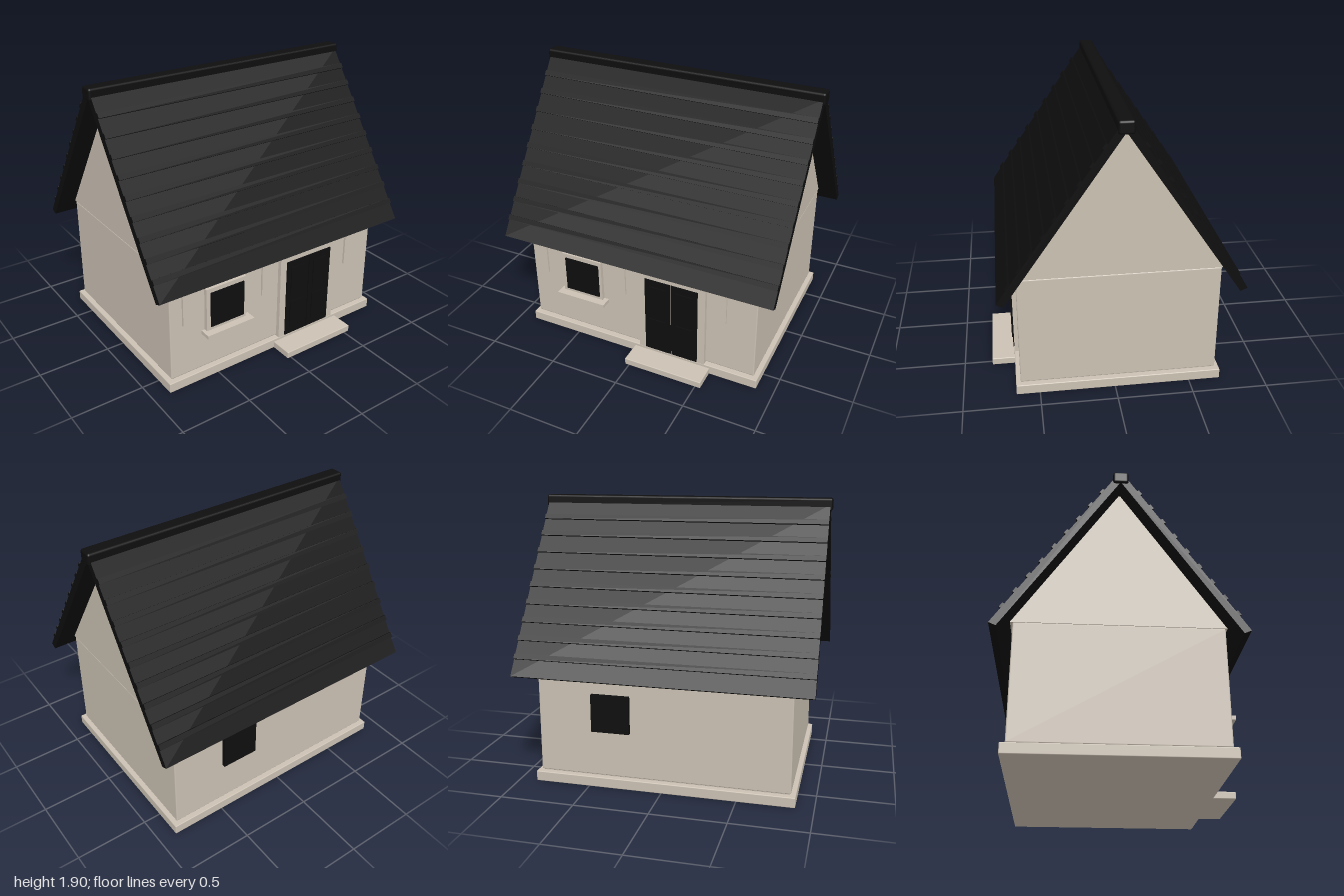
import * as THREE from 'three';
import { RoundedBoxGeometry } from 'three/addons/geometries/RoundedBoxGeometry.js';

const MID = -0.03; // z of the ridge line
const SLOPE = Math.atan2(1.08, 0.734);

export function createModel() {
  const house = new THREE.Group();
  house.name = 'house';
  const plaster = new THREE.MeshStandardMaterial({ color: 0xcbc1b3 });
  plaster.name = 'plaster';
  const black = new THREE.MeshStandardMaterial({ color: 0x0e0e0f });
  black.name = 'black';

  const add = (name, geometry, material, parent = house) => {
    const mesh = new THREE.Mesh(geometry, material);
    mesh.name = name;
    parent.add(mesh);
    return mesh;
  };
  // Box given by its limits on each axis, with optional rounded edges
  const box = (name, material, [x0, x1], [y0, y1], [z0, z1], r = 0, parent = house) => {
    const size = [x1 - x0, y1 - y0, z1 - z0];
    const g = r ? new RoundedBoxGeometry(...size, 2, r) : new THREE.BoxGeometry(...size);
    g.translate((x0 + x1) / 2, (y0 + y1) / 2, (z0 + z1) / 2);
    return add(name, g, material, parent);
  };
  // Outline of (z, y) points extruded along x, centred on x = 0
  const prism = (name, material, points, width) => {
    const shape = new THREE.Shape(points.map(([z, y]) => new THREE.Vector2(z, y)));
    const g = new THREE.ExtrudeGeometry(shape, { depth: width, bevelEnabled: false });
    g.translate(0, 0, -width / 2);
    g.rotateY(-Math.PI / 2);
    return add(name, g, material);
  };

  // Body
  box('foundation', plaster, [-0.88, 0.88], [0, 0.07], [-0.71, 0.655], 0.006);
  box('plinthJoint', plaster, [-0.84, 0.84], [0.06, 0.09], [-0.67, 0.615]);
  box('walls', plaster, [-0.85, 0.85], [0.077, 0.845], [-0.68, 0.625], 0.008);
  box('doorStep', plaster, [-0.03, 0.54], [0, 0.05], [0.64, 0.81], 0.006);
  prism('gables', plaster, [[MID + 0.666, 0.845], [MID, 1.825], [MID - 0.666, 0.845]], 1.7);

  // Roof: two pitched slabs joined under the ridge
  prism('roof', black, [
    [MID + 0.735, 0.746], [MID + 0.78, 0.766], [MID + 0.04, 1.856],
    [MID - 0.04, 1.856], [MID - 0.78, 0.766], [MID - 0.735, 0.746], [MID, 1.826],
  ], 1.97);
  box('ridgeCap', black, [-1, 1], [1.815, 1.897], [MID - 0.05, MID + 0.05], 0.015);

  // Battens along both pitches
  for (const side of [1, -1]) {
    const battens = new THREE.Group();
    battens.name = side > 0 ? 'frontBattens' : 'backBattens';
    house.add(battens);
    for (let i = 0; i < 9; i++) {
      const batten = add('batten', new THREE.BoxGeometry(1.97, 0.022, 0.036), black, battens);
      batten.position.set(0, 0.88 + i * 0.1082, MID + side * (0.706 - i * 0.0735));
      batten.rotation.x = side * SLOPE;
    }
  }

  // Short posts under the front eave
  for (const x of [-0.742, -0.118, 0.625]) {
    box('eavePost', plaster, [x - 0.017, x + 0.017], [0.46, 0.84], [0.61, 0.64]);
  }

  // Front window
  const frontWindow = new THREE.Group();
  frontWindow.name = 'frontWindow';
  house.add(frontWindow);
  box('windowFrame', plaster, [-0.59, -0.28], [0.36, 0.675], [0.6, 0.652], 0, frontWindow);
  box('windowPane', black, [-0.56, -0.3], [0.39, 0.645], [0.64, 0.661], 0, frontWindow);
  box('windowSill', plaster, [-0.615, -0.245], [0.34, 0.365], [0.6, 0.705], 0, frontWindow);

  // Back window
  box('backWindow', black, [0.215, 0.475], [0.39, 0.645], [-0.708, -0.66]);

  // Double door with raised panels
  const door = new THREE.Group();
  door.name = 'door';
  house.add(door);
  box('doorFrame', plaster, [0.01, 0.5], [0.068, 0.73], [0.6, 0.654], 0, door);
  for (const side of [-1, 1]) {
    const x = 0.254 + side * 0.098;
    box('doorLeaf', black, [x - 0.095, x + 0.095], [0.075, 0.66], [0.64, 0.661], 0, door);
    for (const [y0, y1] of [[0.13, 0.34], [0.4, 0.61]]) {
      box('doorPanel', black, [x - 0.06, x + 0.06], [y0, y1], [0.65, 0.668], 0, door);
    }
  }

  return house;
}
